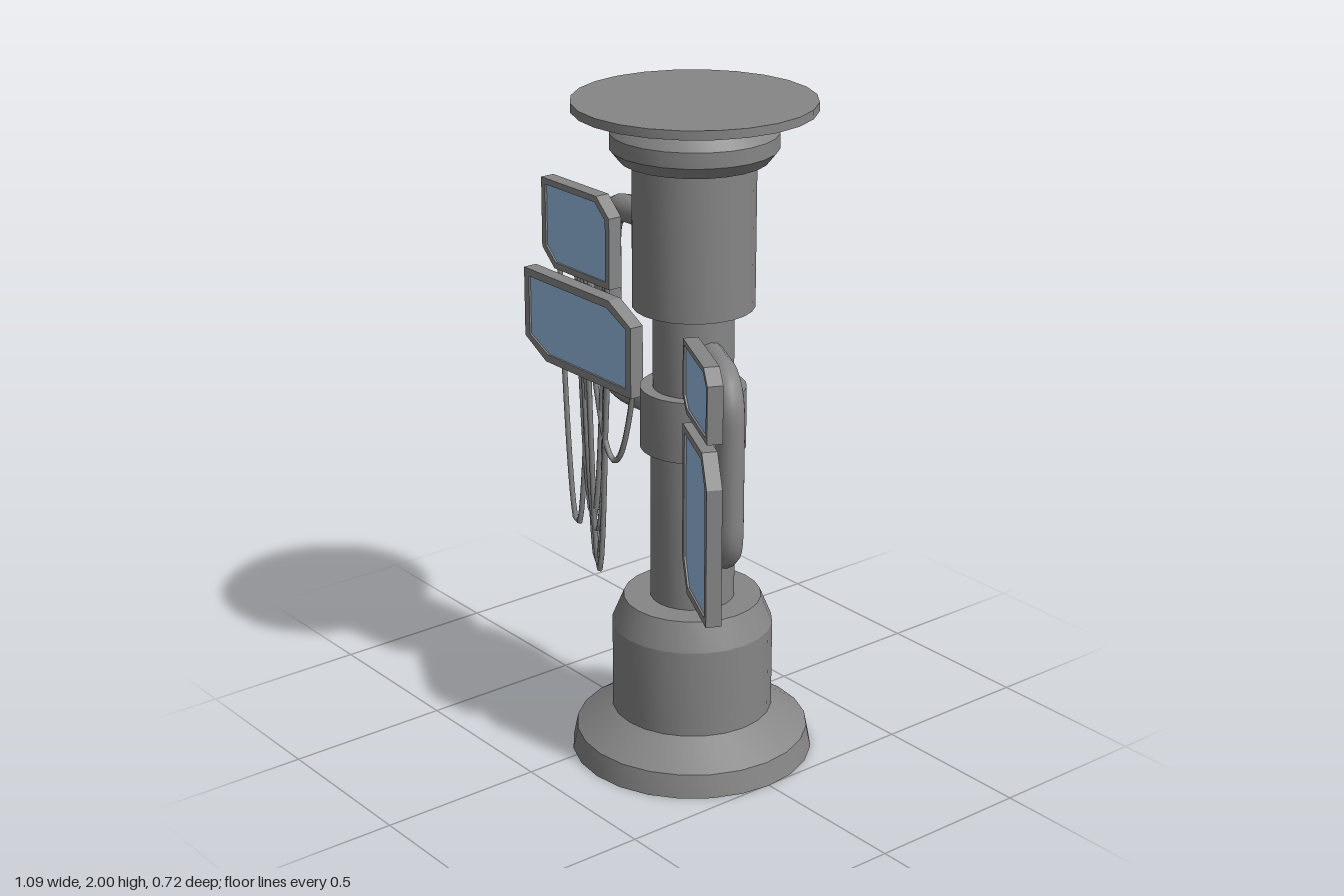
import * as THREE from 'three';
import { toCreasedNormals } from 'three/addons/utils/BufferGeometryUtils.js';

const metal = new THREE.MeshStandardMaterial({ color: 0x868686 });
const glass = new THREE.MeshStandardMaterial({ color: 0x97bde4 });
const V = (x, y, z) => new THREE.Vector3(x, y, z);

function addMesh(parent, name, geometry, material = metal) {
  const mesh = new THREE.Mesh(geometry, material);
  mesh.name = name;
  parent.add(mesh);
  return mesh;
}

// Turned section of the pillar from [radius, height] pairs
function turned(parent, name, profile) {
  const points = profile.map(([r, y]) => new THREE.Vector2(r, y));
  const geometry = new THREE.LatheGeometry(points, 24);
  addMesh(parent, name, toCreasedNormals(geometry, 0.35));
}

// Rectangle with its upper right and lower left corners cut off
function cutOutline(Type, w, h, cx, cy, inset) {
  const a = cx - 0.586 * inset, b = cy - 0.586 * inset;
  const l = inset, r = w - inset, d = inset, u = h - inset;
  return new Type([
    [l + a, d], [r, d], [r, u - b], [r - a, u], [l, u], [l, d + b],
  ].map(([x, y]) => new THREE.Vector2(x, y)));
}

// Display: back plate, raised rim and glass; origin at lower left of its front
function display(parent, name, { x, y, z, w, h, cx, cy, border }) {
  const group = new THREE.Group();
  group.name = name;
  group.position.set(x, y, z);
  parent.add(group);
  const rim = 0.008;
  const outer = cutOutline(THREE.Shape, w, h, cx, cy, 0);
  const plate = new THREE.ExtrudeGeometry(outer, { depth: 0.037, bevelEnabled: false });
  addMesh(group, 'displayBack', plate).position.z = -0.045;
  const ring = cutOutline(THREE.Shape, w, h, cx, cy, 0);
  ring.holes.push(cutOutline(THREE.Path, w, h, cx, cy, border));
  const frame = new THREE.ExtrudeGeometry(ring, { depth: rim, bevelEnabled: false });
  addMesh(group, 'displayFrame', frame).position.z = -rim;
  const pane = new THREE.ShapeGeometry(cutOutline(THREE.Shape, w, h, cx, cy, border));
  addMesh(group, 'displayGlass', pane, glass).position.z = -rim + 0.002;
}

// C-shaped pipe with rounded corners, reaching from x0 to x1
function bracketPipe(parent, name, x0, x1, low, high, z) {
  const c = 0.12, s = Math.sign(x1 - x0) * c;
  const path = new THREE.CurvePath();
  path.add(new THREE.LineCurve3(V(x0, high, z), V(x1 - s, high, z)));
  path.add(new THREE.QuadraticBezierCurve3(V(x1 - s, high, z), V(x1, high, z), V(x1, high - c, z)));
  path.add(new THREE.LineCurve3(V(x1, high - c, z), V(x1, low + c, z)));
  path.add(new THREE.QuadraticBezierCurve3(V(x1, low + c, z), V(x1, low, z), V(x1 - s, low, z)));
  path.add(new THREE.LineCurve3(V(x1 - s, low, z), V(x0, low, z)));
  addMesh(parent, name, new THREE.TubeGeometry(path, 40, 0.042, 12));
}

export function createModel() {
  const model = new THREE.Group();

  // Pillar
  const pillar = new THREE.Group();
  pillar.name = 'pillar';
  pillar.position.x = 0.143;
  model.add(pillar);
  turned(pillar, 'base', [[0, 0], [0.362, 0], [0.348, 0.07], [0.24, 0.14], [0.24, 0.41], [0.205, 0.495], [0, 0.495]]);
  turned(pillar, 'lowerShaft', [[0.125, 0.48], [0.125, 0.98]]);
  turned(pillar, 'collar', [[0.11, 0.97], [0.155, 0.97], [0.155, 1.155], [0.11, 1.155]]);
  turned(pillar, 'upperShaft', [[0.118, 1.14], [0.118, 1.41]]);
  turned(pillar, 'sleeve', [[0.11, 1.4], [0.177, 1.4], [0.177, 1.84]]);
  turned(pillar, 'neckRing', [[0.17, 1.83], [0.212, 1.83], [0.24, 1.865], [0.24, 1.91], [0.212, 1.945], [0.17, 1.945]]);
  turned(pillar, 'topDisc', [[0, 1.945], [0.21, 1.945], [0.347, 1.974], [0.347, 2], [0, 2]]);

  // Right-hand arm and its two displays
  const rightArm = new THREE.Group();
  rightArm.name = 'rightArm';
  model.add(rightArm);
  bracketPipe(rightArm, 'rightPipe', 0.05, -0.263, 1.05, 1.615, -0.002);
  display(rightArm, 'rightUpperDisplay', { x: -0.46, y: 1.39, z: 0.092, w: 0.328, h: 0.27, cx: 0.06, cy: 0.055, border: 0.019 });
  display(rightArm, 'rightLowerDisplay', { x: -0.545, y: 1.085, z: 0.1, w: 0.523, h: 0.275, cx: 0.105, cy: 0.057, border: 0.024 });

  // Left-hand arm, swung forward, with its two displays
  const leftArm = new THREE.Group();
  leftArm.name = 'leftArm';
  leftArm.position.set(0.461, 0, 0.128);
  leftArm.rotation.y = -26 * Math.PI / 180;
  model.add(leftArm);
  bracketPipe(leftArm, 'leftPipe', -0.27, 0, 0.73, 1.28, 0);
  display(leftArm, 'leftUpperDisplay', { x: -0.178, y: 1.15, z: 0.094, w: 0.292, h: 0.21, cx: 0.045, cy: 0.04, border: 0.016 });
  display(leftArm, 'leftLowerDisplay', { x: -0.178, y: 0.6, z: 0.094, w: 0.292, h: 0.505, cx: 0.06, cy: 0.09, border: 0.022 });

  // Cables hanging behind the right displays: start x, y, end x, y, lowest y
  const cables = new THREE.Group();
  cables.name = 'cables';
  model.add(cables);
  [
    [-0.452, 1.55, -0.295, 1.4, 0.55],
    [-0.345, 1.45, -0.2, 1.25, 0.56],
    [-0.335, 1.5, -0.21, 1.42, 0.45],
    [-0.315, 1.58, -0.205, 1.38, 0.44],
    [-0.37, 1.62, -0.22, 1.45, 0.6],
    [-0.3, 1.25, -0.075, 1.13, 0.83],
  ].forEach(([x0, y0, x1, y1, low], i) => {
    const z = 0.04 + 0.004 * (i % 2);
    const mid = V((x0 + x1) / 2, 2 * low - (y0 + y1) / 2, z);
    const curve = new THREE.QuadraticBezierCurve3(V(x0, y0, z), mid, V(x1, y1, z));
    addMesh(cables, 'cable', new THREE.TubeGeometry(curve, 40, 0.009, 5));
  });

  return model;
}
